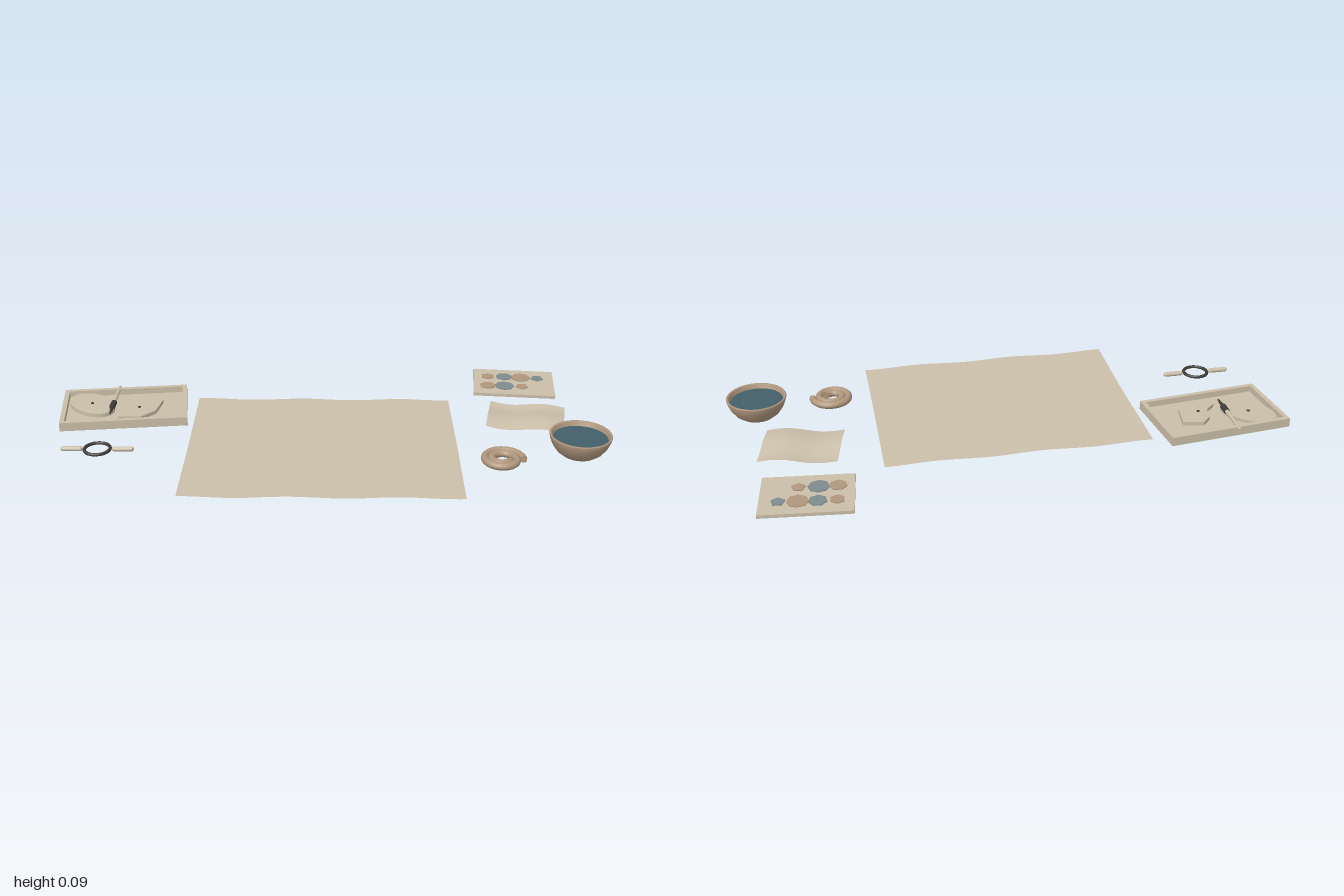
import * as THREE from 'three';

const mat = (name, color, side = THREE.FrontSide) => {
  const m = new THREE.MeshStandardMaterial({ color, side });
  m.name = name;
  return m;
};

export function createModel() {
  const linen = mat('linen', 0xcabfa9, THREE.DoubleSide);
  const paleWood = mat('paleWood', 0xc9bea7);
  const clay = mat('clay', 0xb0967d, THREE.DoubleSide);
  const slate = mat('slate', 0x7f8b8d);
  const water = mat('water', 0x435f69);
  const dark = mat('darkMetal', 0x3d3c38);

  const model = new THREE.Group();
  model.name = 'craftTable';
  const group = (name, x, y, z, turn = 0) => {
    const g = new THREE.Group();
    g.name = name;
    g.position.set(x, y, z);
    g.rotation.y = turn;
    model.add(g);
    return g;
  };
  const add = (parent, name, geo, material, x = 0, y = 0, z = 0) => {
    const m = new THREE.Mesh(geo, material);
    m.name = name;
    m.position.set(x, y, z);
    parent.add(m);
    return m;
  };
  // Flat sheet whose height follows a rule
  const sheet = (w, d, nx, nz, height) => {
    const g = new THREE.PlaneGeometry(w, d, nx, nz).rotateX(-Math.PI / 2);
    const p = g.attributes.position;
    for (let i = 0; i < p.count; i++) p.setY(i, height(p.getX(i), p.getZ(i)));
    g.computeVertexNormals();
    return g;
  };
  // Plate cut from an outline of [x, z] points, lying flat
  const plate = (points, thickness) => {
    const shape = new THREE.Shape(points.map(([x, z]) => new THREE.Vector2(x, -z)));
    return new THREE.ExtrudeGeometry(shape, { depth: thickness, bevelEnabled: false })
      .rotateX(-Math.PI / 2);
  };

  // Large cloth with faint diagonal ripples
  const cloth = group('cloth', -0.01, 0, 0.135);
  add(cloth, 'clothSheet', sheet(0.955, 0.75, 40, 32,
    (x, z) => 0.003 + 0.003 * Math.sin(x * 17 + z * 9)), linen);

  // Small rumpled cloth
  const rag = group('rag', 0.74, 0.021, -0.067, -0.19);
  add(rag, 'ragSheet', sheet(0.278, 0.218, 24, 20,
    (x, z) => 0.007 * Math.sin(x * 24) + 0.005 * Math.sin(z * 28 + 0.6)), linen);

  // Tray: floor and four walls
  const tray = group('tray', -0.754, 0.004, -0.126, 0.12);
  const W = 0.463, D = 0.289, T = 0.017, H = 0.033;
  add(tray, 'trayFloor', new THREE.BoxGeometry(W, 0.01, D), paleWood, 0, 0.005, 0);
  for (const s of [-1, 1]) {
    add(tray, 'trayLongWall', new THREE.BoxGeometry(W, H, T), paleWood, 0, H / 2, s * (D - T) / 2);
    add(tray, 'trayShortWall', new THREE.BoxGeometry(T, H, D - 2 * T), paleWood, s * (W - T) / 2, H / 2, 0);
  }

  // Cut pieces lying in the tray, each with a small peg
  const oval = [];
  for (let i = 0; i < 28; i++) {
    const a = (i / 28) * Math.PI * 2;
    const u = 0.106 * Math.cos(a), v = 0.07 * Math.sin(a);
    oval.push([(u - v) * 0.707, (u + v) * 0.707]);
  }
  const shard = [[0.005, -0.08], [0.08, -0.065], [0.065, 0.027], [0.015, 0.08],
    [-0.07, 0.08], [-0.075, 0.045], [-0.037, 0.01], [-0.03, -0.043]];
  for (const [name, outline, x, z] of [['ovalPiece', oval, -0.88, -0.142], ['angularPiece', shard, -0.698, -0.112]]) {
    const piece = group(name, x, 0.014, z);
    add(piece, name + 'Plate', plate(outline, 0.014), paleWood);
    add(piece, name + 'Peg', new THREE.CylinderGeometry(0.006, 0.006, 0.003, 12), dark, 0, 0.015, 0);
  }

  // Brush resting between the pieces
  const brush = group('brush', -0.798, 0.033, 0);
  const rod = (r1, r2, length) => new THREE.CylinderGeometry(r1, r2, length, 12).rotateX(Math.PI / 2);
  add(brush, 'brushHandle', rod(0.008, 0.006, 0.14), paleWood, 0, 0, -0.21);
  add(brush, 'brushFerrule', rod(0.011, 0.011, 0.042), dark, 0, 0, -0.12);
  add(brush, 'brushTip', rod(0.003, 0.007, 0.05), dark, 0, 0, -0.075);

  // Ring tool with two handles
  const tool = group('ringTool', -0.798, 0.021, 0.21);
  add(tool, 'toolRing', new THREE.TorusGeometry(0.045, 0.006, 8, 32).rotateX(Math.PI / 2), dark);
  for (const s of [-1, 1]) {
    add(tool, 'toolHandle', new THREE.CapsuleGeometry(0.009, 0.06, 4, 12).rotateZ(Math.PI / 2),
      paleWood, s * 0.09, 0, 0);
  }

  // Bowl with a rounded lip, filled with water
  const bowl = group('bowl', 0.888, 0.005, 0.203);
  const profile = [[0, 0], [0.045, 0], [0.062, 0.006], [0.082, 0.022], [0.097, 0.044], [0.105, 0.064],
    [0.109, 0.078], [0.107, 0.081], [0.102, 0.081], [0.099, 0.077], [0.094, 0.058], [0.08, 0.032], [0, 0.01]]
    .map(([r, y]) => new THREE.Vector2(r, y));
  add(bowl, 'bowlBody', new THREE.LatheGeometry(profile, 48), clay);
  add(bowl, 'bowlWater', new THREE.CircleGeometry(0.096, 48).rotateX(-Math.PI / 2), water, 0, 0.064, 0);

  // Rolled clay coil, capped at both ends
  const coil = group('coil', 0.612, 0.021, 0.27);
  const points = [];
  for (let i = 0; i <= 40; i++) {
    const t = i / 40, a = t * Math.PI * 2 * 1.9, r = 0.072 - 0.045 * t;
    points.push(new THREE.Vector3(r * Math.cos(a), 0, -r * Math.sin(a)));
  }
  const path = new THREE.CatmullRomCurve3(points);
  add(coil, 'coilRoll', new THREE.TubeGeometry(path, 120, 0.0135, 12), clay);
  for (const t of [0, 1]) {
    const cap = add(coil, 'coilEnd', new THREE.CircleGeometry(0.0135, 12), clay);
    cap.position.copy(path.getPointAt(t));
    cap.lookAt(cap.position.clone().addScaledVector(path.getTangentAt(t), t ? 1 : -1));
  }

  // Sample board with faceted colour chips
  const board = group('sampleBoard', 0.735, 0.003, -0.382, -0.095);
  add(board, 'boardSlab', new THREE.BoxGeometry(0.312, 0.012, 0.228), paleWood, 0, 0.006, 0);
  const chips = [[-0.1, -0.043, 0.026, 6, clay], [-0.036, -0.045, 0.032, 7, slate],
    [0.029, -0.043, 0.037, 8, clay], [0.093, -0.041, 0.025, 5, slate],
    [-0.1, 0.043, 0.031, 7, clay], [-0.036, 0.041, 0.037, 8, slate], [0.031, 0.041, 0.025, 5, clay]];
  for (const [x, z, r, sides, colour] of chips) {
    add(board, 'colourChip', new THREE.CylinderGeometry(r, r, 0.004, sides), colour, x, 0.013, z);
  }
  return model;
}
